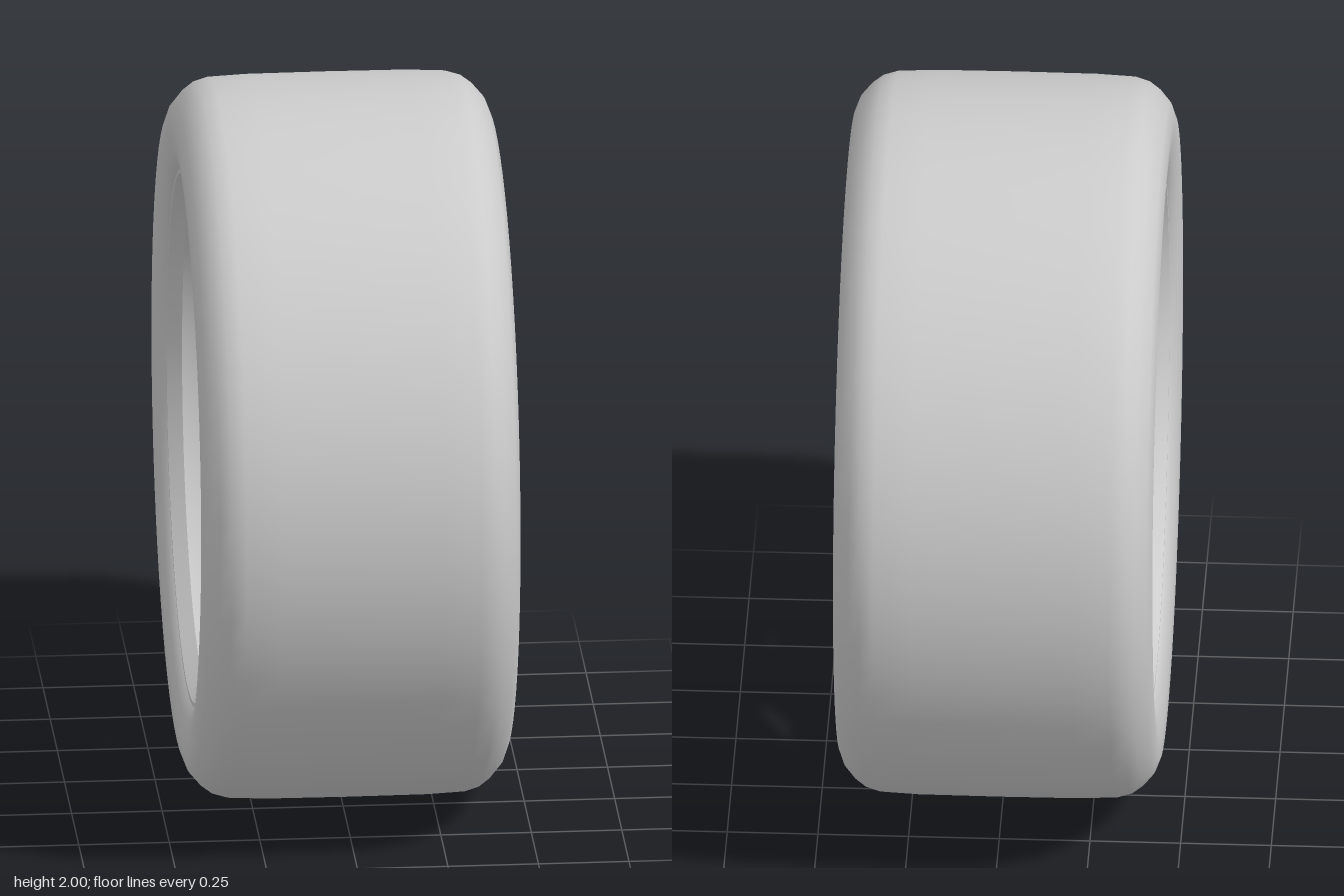
import * as THREE from 'three';
import { toCreasedNormals } from 'three/addons/utils/BufferGeometryUtils.js';

const SPOKES = 5;
const grey = new THREE.MeshStandardMaterial({ color: 0xcccccc });
const greyDouble = new THREE.MeshStandardMaterial({ color: 0xcccccc, side: THREE.DoubleSide });

function add(parent, name, geometry, material = grey) {
  const mesh = new THREE.Mesh(geometry, material);
  mesh.name = name;
  parent.add(mesh);
  return mesh;
}

// Revolve [radius, z] pairs around the wheel axis (local z)
function revolve(profile, segments, crease) {
  const points = profile.map(([r, z]) => new THREE.Vector2(r, z));
  const geometry = new THREE.LatheGeometry(points, segments).rotateX(Math.PI / 2);
  return crease ? toCreasedNormals(geometry, crease) : geometry;
}

// Skin a row of equal-sized rings, capping both ends
function loft(rings, flip) {
  const n = rings[0].length;
  const index = [];
  const tri = (a, b, c) => (flip ? index.push(a, c, b) : index.push(a, b, c));
  for (let k = 0; k < rings.length - 1; k++) {
    for (let i = 0; i < n; i++) {
      const a = k * n + i, b = k * n + ((i + 1) % n);
      tri(a, b, b + n);
      tri(a, b + n, a + n);
    }
  }
  const last = (rings.length - 1) * n;
  for (let i = 1; i < n - 1; i++) {
    tri(0, i + 1, i);
    tri(last, last + i, last + i + 1);
  }
  const geometry = new THREE.BufferGeometry();
  geometry.setAttribute('position', new THREE.Float32BufferAttribute(rings.flat(2), 3));
  geometry.setIndex(index);
  return toCreasedNormals(geometry, 0.4);
}

// One arm of a split spoke, running up +y; side is 1 or -1
function spokeArm(side) {
  // radius, inner edge, outer edge, front height, depth
  const stations = [
    [0.06, 0, 0.04, 0.145, 0.11],
    [0.12, 0, 0.048, 0.155, 0.11],
    [0.16, 0, 0.07, 0.165, 0.11],
    [0.192, 0, 0.095, 0.175, 0.105],
    [0.2, 0.02, 0.101, 0.177, 0.105],
    [0.215, 0.034, 0.11, 0.181, 0.1],
    [0.245, 0.042, 0.115, 0.19, 0.1],
    [0.3, 0.043, 0.112, 0.207, 0.095],
    [0.4, 0.044, 0.106, 0.243, 0.085],
    [0.5, 0.046, 0.102, 0.283, 0.08],
    [0.6, 0.048, 0.098, 0.327, 0.075],
    [0.67, 0.049, 0.096, 0.362, 0.07],
    [0.725, 0.05, 0.095, 0.39, 0.06],
  ];
  const rings = stations.map(([r, inner, outer, front, depth]) => {
    const at = (t) => side * (inner + (outer - inner) * t);
    return [
      [at(0), r, front - depth],
      [at(0), r, inner ? front - 0.018 : front],
      [at(inner ? 0.18 : 0), r, front],
      [at(0.68), r, front],
      [at(1), r, front - 0.03],
      [at(0.9), r, front - depth],
    ];
  });
  return loft(rings, side < 0);
}

export function createModel() {
  const model = new THREE.Group();
  model.name = 'wheel';

  // Tire: half profile mirrored across the middle
  const half = [
    [0.73, 0.38], [0.745, 0.41], [0.78, 0.428], [0.83, 0.438], [0.885, 0.44],
    [0.925, 0.425], [0.96, 0.395], [0.982, 0.365], [0.994, 0.325], [0.999, 0.22],
  ];
  const tireProfile = [
    ...half.map(([r, z]) => [r, -z]), [1, 0], ...half.slice().reverse(),
  ];
  add(model, 'tire', revolve(tireProfile, 64), greyDouble);

  // Rim barrel with stepped lips, listed from front to back
  const rimProfile = [
    [0.745, 0.385], [0.742, 0.405], [0.73, 0.405], [0.722, 0.385], [0.7, 0.37],
    [0.688, 0.36], [0.685, 0.33], [0.665, 0.322], [0.66, 0.285], [0.648, 0.278],
    [0.64, 0.25], [0.64, -0.12], [0.668, -0.17], [0.672, -0.23], [0.695, -0.27],
    [0.7, -0.37], [0.715, -0.39], [0.73, -0.41], [0.742, -0.41], [0.745, -0.385],
  ];
  add(model, 'rim', revolve(rimProfile, 96, 0.5), greyDouble);

  // Hub plate with open bolt holes
  const plate = new THREE.Shape().absarc(0, 0, 0.18, 0, Math.PI * 2, false);
  for (let i = 0; i < SPOKES; i++) {
    const a = Math.PI / 2 + (i * 2 * Math.PI) / SPOKES;
    const hole = new THREE.Path();
    hole.absarc(0.145 * Math.cos(a), 0.145 * Math.sin(a), 0.024, 0, Math.PI * 2, true);
    plate.holes.push(hole);
  }
  const hub = new THREE.ExtrudeGeometry(plate, {
    depth: 0.06, curveSegments: 40, bevelThickness: 0.012, bevelSize: 0.012, bevelOffset: -0.012, bevelSegments: 1,
  });
  add(model, 'hubPlate', toCreasedNormals(hub.translate(0, 0, 0.05), 0.5));

  // Centre boss and recessed cap
  const bossProfile = [
    [0, 0.02], [0.09, 0.02], [0.09, 0.14], [0.08, 0.165], [0.066, 0.165],
    [0.062, 0.157], [0.058, 0.163], [0, 0.165],
  ];
  add(model, 'centreCap', revolve(bossProfile, 40, 0.4));

  // Tubular seat around each bolt hole
  const seatProfile = [
    [0.024, 0.03], [0.04, 0.03], [0.04, 0.135], [0.034, 0.142], [0.028, 0.142],
    [0.024, 0.132], [0.024, 0.03],
  ];
  const seat = revolve(seatProfile, 24, 0.5);
  const leftArm = spokeArm(1);
  const rightArm = spokeArm(-1);
  const bridge = new THREE.BoxGeometry(0.1, 0.035, 0.05);
  const foot = new THREE.CylinderGeometry(0.016, 0.024, 0.05, 12).rotateX(Math.PI / 2);

  for (let i = 0; i < SPOKES; i++) {
    const sector = new THREE.Group();
    sector.name = 'spoke';
    sector.rotation.z = Math.PI + (i * 2 * Math.PI) / SPOKES;
    add(sector, 'spokeArmLeft', leftArm);
    add(sector, 'spokeArmRight', rightArm);
    add(sector, 'rimBridge', bridge).position.set(0, 0.675, 0.31);
    // Small fillets where the arms meet the rim
    for (const side of [-1, 1]) {
      add(sector, 'armFoot', foot).position.set(side * 0.098, 0.655, 0.305);
    }
    model.add(sector);

    const a = Math.PI / 2 + (i * 2 * Math.PI) / SPOKES;
    add(model, 'boltSeat', seat).position.set(0.145 * Math.cos(a), 0.145 * Math.sin(a), 0);
  }

  // Turn the spoked face toward +x and stand the wheel on the ground
  model.rotation.y = Math.PI / 2;
  model.position.y = 1;
  const root = new THREE.Group();
  root.name = 'wheelAssembly';
  root.add(model);
  return root;
}
